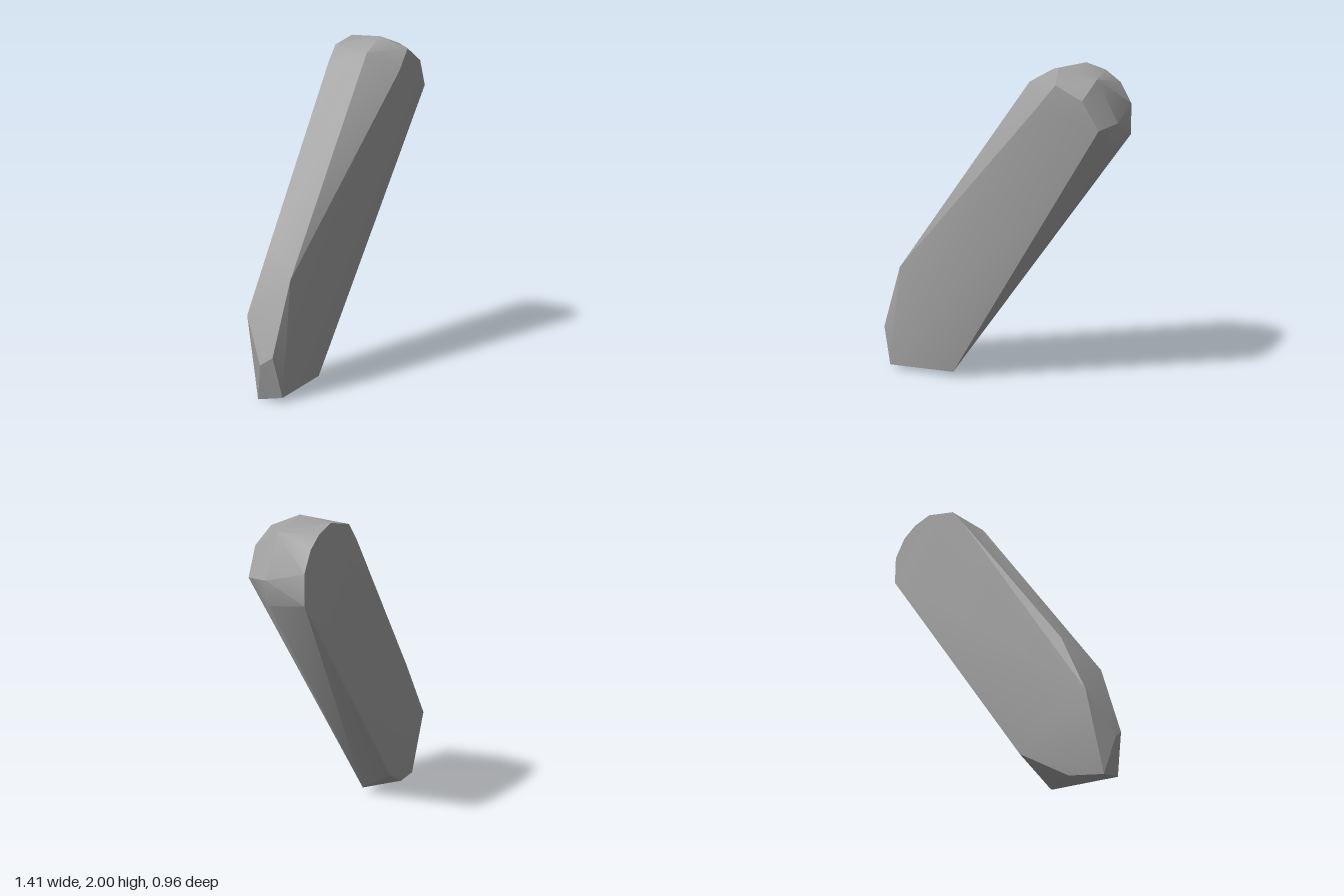
import * as THREE from 'three';
import { ConvexGeometry } from 'three/addons/geometries/ConvexGeometry.js';
import { toCreasedNormals } from 'three/addons/utils/BufferGeometryUtils.js';

// The back of the shard is one flat upright plane: z follows from x
const onBack = ([x, y]) => new THREE.Vector3(x, y, 0.25 - 0.58 * (x + 0.705));

export function createModel() {
  const group = new THREE.Group();
  group.name = 'stoneShard';

  const stone = new THREE.MeshStandardMaterial({ color: 0xa0a0a0 });
  stone.name = 'grey stone';

  // Outline of the flat back, from the foot round the rounded top
  const back = [
    [-0.705, 0.47], [0.07, 1.85], [0.14, 1.95], [0.312, 2.0], [0.416, 1.965],
    [0.494, 1.9], [0.554, 1.78], [0.554, 1.6], [-0.31, 0.2],
  ].map(onBack);

  // Chipped foot
  const foot = [
    [-0.69, 0, 0.35], [-0.6, 0.03, 0.478], [-0.24, 0.04, 0.24],
    [-0.52, 0.03, 0.22], [-0.71, 0.22, 0.42], [-0.66, 0.27, 0.478],
  ];

  // Shoulder on the long upper edge
  const shoulder = [[-0.53, 0.85, 0.19], [-0.525, 0.69, 0.437]];

  // Bevelled head
  const head = [
    [0.22, 1.91, 0], [0.4, 1.8, 0.08], [0.49, 1.93, 0.027], [0.37, 2.0, -0.09],
    [0.57, 1.95, -0.205], [0.63, 1.85, -0.05], [0.705, 1.69, -0.11],
    [0.68, 1.71, -0.27], [0.66, 1.56, -0.26],
  ];

  const front = [...foot, ...shoulder, ...head].map((p) => new THREE.Vector3(...p));
  const hull = new ConvexGeometry([...back, ...front]);

  // Soft facets with the strong edges kept sharp
  const shard = new THREE.Mesh(toCreasedNormals(hull, THREE.MathUtils.degToRad(30)), stone);
  shard.name = 'shard';
  group.add(shard);
  return group;
}
